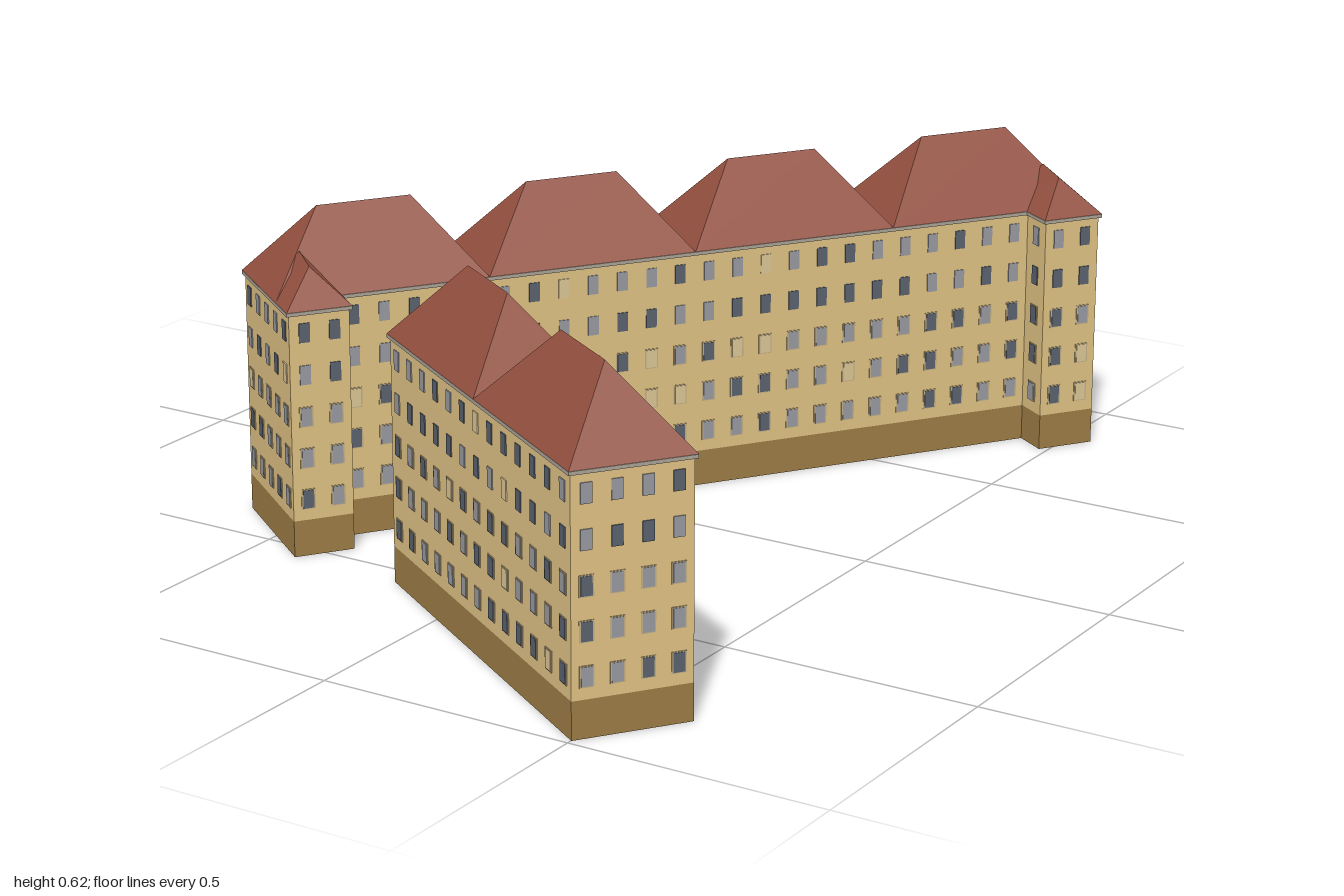
import * as THREE from 'three';
import { mergeGeometries } from 'three/addons/utils/BufferGeometryUtils.js';

const EAVE = 0.475, BASE = 0.07, PITCH = 1.23, OVER = 0.005;

function material(name, color, side = THREE.FrontSide) {
  const m = new THREE.MeshStandardMaterial({ color, side });
  m.name = name;
  return m;
}

function seeded(seed) {
  return () => (seed = (seed * 16807) % 2147483647) / 2147483647;
}

export function createModel() {
  const mats = {
    wall: material('sand plaster', 0xe0c284, THREE.DoubleSide),
    plinth: material('brown plinth', 0x9d7c45, THREE.DoubleSide),
    roof: material('red roof', 0x924f3e, THREE.DoubleSide),
    cornice: material('grey cornice', 0xaaa395),
    darkGlass: material('dark glass', 0x5a626f),
    paleGlass: material('pale glass', 0x989aa0),
    blind: material('cream blind', 0xdcc696),
    frame: material('window frame', 0xc2ae84),
  };
  const random = seeded(4711);

  function mesh(name, geometry, mat) {
    const m = new THREE.Mesh(geometry, mat);
    m.name = name;
    return m;
  }

  // Thin plate centred on the wall plane, so it shows on both faces
  const plate = (x, y, w, h, d) => new THREE.BoxGeometry(w, h, d).translate(x, y, 0);

  // One straight facade from a to b (x,z), outward side to the right of travel
  function facade(name, [ax, az], [bx, bz]) {
    const g = new THREE.Group();
    g.name = name;
    const length = Math.hypot(bx - ax, bz - az);
    g.position.set((ax + bx) / 2, 0, (az + bz) / 2);
    g.rotation.y = Math.atan2(az - bz, bx - ax);
    g.add(mesh('wall', new THREE.PlaneGeometry(length, EAVE - BASE).translate(0, (EAVE + BASE) / 2, 0), mats.wall));
    g.add(mesh('plinth', new THREE.PlaneGeometry(length, BASE).translate(0, BASE / 2, 0), mats.plinth));

    const parts = { darkGlass: [], paleGlass: [], blind: [], frame: [] };
    const count = Math.max(1, Math.round(length / 0.0595));
    const rows = [0.111, 0.191, 0.271, 0.352, 0.433];
    rows.forEach((y, row) => {
      for (let i = 0; i < count; i++) {
        const x = ((i + 0.5) / count - 0.5) * length;
        const r = random();
        const glass = r < 0.4 ? 'darkGlass' : r < 0.93 ? 'paleGlass' : 'blind';
        if (row < 3) {
          // framed windows on the lower floors
          parts.frame.push(plate(x, y, 0.027, 0.039, 0.003));
          parts[glass].push(plate(x, y, 0.021, 0.035, 0.005));
        } else {
          parts[glass].push(plate(x, y, 0.021, 0.037, 0.004));
        }
      }
    });
    for (const [key, list] of Object.entries(parts)) {
      if (list.length) g.add(mesh(key + 'Windows', mergeGeometries(list), mats[key]));
    }
    return g;
  }

  // Hipped roof over a plan rectangle; the ridge follows the longer side,
  // and its outer end may sit lower by the given drop
  function hipRoof(name, at, x0, x1, z0, z1, drop = 0) {
    const w = x1 - x0, d = z1 - z0, inset = Math.min(w, d) / 2;
    const top = EAVE + inset * PITCH, mx = (x0 + x1) / 2, mz = (z0 + z1) / 2;
    const point = (x, y, z) => { const [px, pz] = at(x, z); return [px, y, pz]; };
    const a = point(x0, EAVE, z1), b = point(x1, EAVE, z1);
    const c = point(x1, EAVE, z0), e = point(x0, EAVE, z0);
    let faces;
    if (w >= d) {
      const p = point(x0 + inset, top, mz), q = point(x1 - inset, top, mz);
      faces = [a, b, q, a, q, p, b, c, q, c, e, p, c, p, q, e, a, p];
    } else {
      const p = point(mx, top, z0 + inset), q = point(mx, top - drop, z1 - inset);
      faces = [a, b, q, b, c, p, b, p, q, c, e, p, e, a, q, e, q, p];
    }
    const geo = new THREE.BufferGeometry();
    geo.setAttribute('position', new THREE.Float32BufferAttribute(faces.flat(), 3));
    geo.computeVertexNormals();
    return mesh(name, geo, mats.roof);
  }

  // Thin cornice slab closing the eaves
  function cornice(at, x0, x1, z0, z1) {
    const corners = [at(x0, z0), at(x1, z0), at(x1, z1), at(x0, z1)];
    const shape = new THREE.Shape(corners.map(([x, z]) => new THREE.Vector2(x, z)));
    const geo = new THREE.ExtrudeGeometry(shape, { depth: 0.007, bevelEnabled: false });
    return mesh('cornice', geo.rotateX(Math.PI / 2).translate(0, EAVE - 0.0005, 0), mats.cornice);
  }

  // Row of equal houses on a four-cornered plot [back start, back end, front end, front start],
  // with party walls and optional end bays projecting at the front
  function terrace(name, plot, length, depth, houses, bayWidth, bayDepth) {
    const g = new THREE.Group();
    g.name = name;
    const far = depth + bayDepth;
    // plan position: x along the row, z from back to front
    const at = (x, z) => [0, 1].map((k) => {
      const u = x / length, v = z / far;
      return (1 - v) * ((1 - u) * plot[0][k] + u * plot[1][k]) + v * ((1 - u) * plot[3][k] + u * plot[2][k]);
    });
    const outline = (bayDepth
      ? [[0, far], [bayWidth, far], [bayWidth, depth], [length - bayWidth, depth],
        [length - bayWidth, far], [length, far], [length, 0], [0, 0]]
      : [[0, depth], [length, depth], [length, 0], [0, 0]]).map(([x, z]) => at(x, z));
    outline.forEach((p, i) => g.add(facade('facade', p, outline[(i + 1) % outline.length])));

    const step = (length + 2 * OVER) / houses;
    for (let i = 0; i < houses; i++) {
      const x = -OVER + i * step;
      if (i > 0) g.add(facade('partyWall', at(x, depth), at(x, 0)));
      g.add(hipRoof('houseRoof', at, x, x + step, -OVER, depth + OVER));
    }
    g.add(cornice(at, -OVER, length + OVER, -OVER, depth + OVER));

    if (bayDepth) {
      for (const x of [0, length - bayWidth]) {
        g.add(hipRoof('bayRoof', at, x - OVER, x + bayWidth + OVER, depth / 2, far + OVER, 0.012));
        g.add(cornice(at, x - OVER, x + bayWidth + OVER, depth + OVER, far + OVER));
      }
    }
    return g;
  }

  const model = new THREE.Group();
  model.name = 'apartmentBlocks';
  model.add(
    terrace('longBlock', [[-0.632, 0.38], [0.302, -0.994], [0.549, -0.83], [-0.402, 0.55]], 1.665, 0.223, 4, 0.116, 0.073),
    terrace('shortBlock', [[-0.064, 0.362], [0.628, 0.81], [0.501, 0.99], [-0.172, 0.553]], 0.815, 0.222, 2, 0, 0),
  );
  return model;
}
